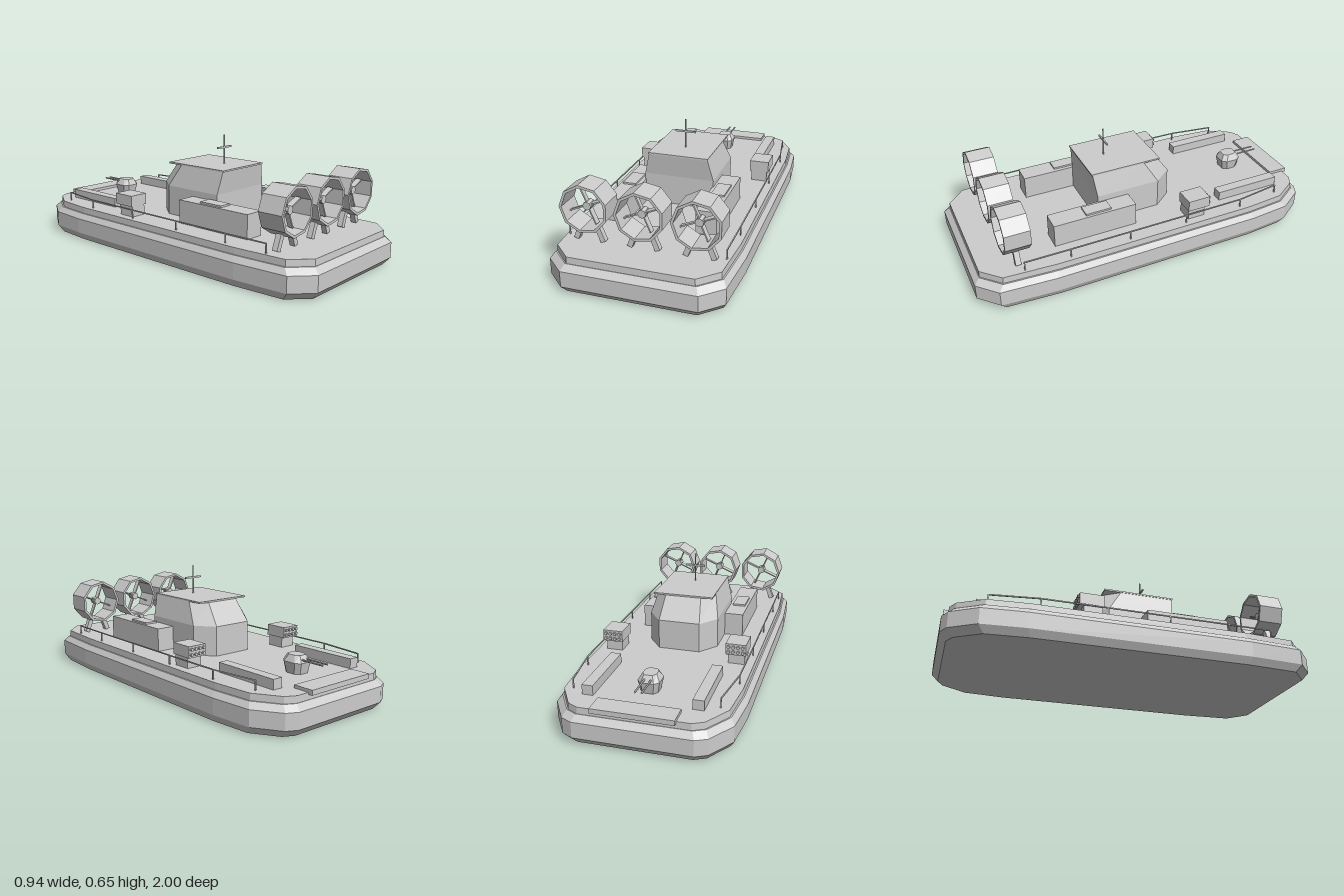
import * as THREE from 'three';

const grey = new THREE.MeshStandardMaterial({ color: 0xcccccc });
grey.name = 'hull grey';

export function createModel() {
  const root = new THREE.Group();
  root.name = 'hovercraft';

  // flat shaded mesh
  function add(name, geo, parent = root) {
    const g = geo.index ? geo.toNonIndexed() : geo;
    g.computeVertexNormals();
    const m = new THREE.Mesh(g, grey);
    m.name = name;
    parent.add(m);
    return m;
  }

  // box from its min and max corners
  function box(name, x0, x1, y0, y1, z0, z1, parent = root) {
    const g = new THREE.BoxGeometry(x1 - x0, y1 - y0, z1 - z0);
    g.translate((x0 + x1) / 2, (y0 + y1) / 2, (z0 + z1) / 2);
    return add(name, g, parent);
  }

  // straight bar between two points
  function bar(name, a, b, w, d, parent = root, sides = 0) {
    const p = new THREE.Vector3(...a), q = new THREE.Vector3(...b);
    const len = p.distanceTo(q);
    const m = add(name, sides ? new THREE.CylinderGeometry(w, w, len, sides) : new THREE.BoxGeometry(w, len, d), parent);
    m.position.copy(p).add(q).multiplyScalar(0.5);
    m.quaternion.setFromUnitVectors(new THREE.Vector3(0, 1, 0), q.sub(p).normalize());
    return m;
  }

  // skin between mirrored half outlines, each { y, pts: [[x, z], ...] } from front to back
  function loft(levels) {
    const rings = levels.map(({ y, pts }) => [
      ...pts.map(([x, z]) => [x, y, z]),
      ...[...pts].reverse().map(([x, z]) => [-x, y, z]),
    ]);
    const v = [], n = rings[0].length;
    for (let r = 0; r < rings.length - 1; r++) {
      for (let i = 0; i < n; i++) {
        const j = (i + 1) % n, lo = rings[r], hi = rings[r + 1];
        v.push(...lo[i], ...lo[j], ...hi[j], ...lo[i], ...hi[j], ...hi[i]);
      }
    }
    const top = rings[rings.length - 1], bot = rings[0];
    for (let i = 1; i < n - 1; i++) {
      v.push(...top[0], ...top[i], ...top[i + 1], ...bot[0], ...bot[i + 1], ...bot[i]);
    }
    const g = new THREE.BufferGeometry();
    g.setAttribute('position', new THREE.Float32BufferAttribute(v, 3));
    return g;
  }

  // skirt and deck share one plan outline, inset by level
  const plan = [[0.345, 1], [0.45, 0.9], [0.47, 0.6], [0.47, -0.6], [0.45, -0.83], [0.36, -0.97], [0.3, -1]];
  const level = (y, ix, iz) => ({ y, pts: plan.map(([x, z]) => [x * (1 - ix / 0.47), z * (1 - iz)]) });
  add('skirt', loft([level(0, 0.02, 0.035), level(0.04, 0, 0), level(0.125, 0, 0), level(0.155, 0.022, 0.03)]));
  add('deck', loft([level(0.15, 0.03, 0.032), level(0.19, 0.032, 0.034)]));
  box('bowRamp', -0.208, 0.208, 0.18, 0.206, -0.99, -0.878);

  // cabin with chamfered, sloping windscreen
  const wall = [[0.195, 0.255], [0.195, -0.11], [0.115, -0.213]];
  const eave = [[0.165, 0.27], [0.165, -0.035], [0.1, -0.125]];
  add('cabin', loft([{ y: 0.19, pts: wall }, { y: 0.355, pts: wall }, { y: 0.478, pts: eave }]));
  box('cabinRoof', -0.168, 0.168, 0.476, 0.485, -0.132, 0.275);

  // mast with crossbar
  bar('mast', [0, 0.48, 0.135], [0, 0.648, 0.135], 0.004, 0, root, 6);
  box('mastCrossbar', -0.057, 0.057, 0.573, 0.583, 0.131, 0.139);

  for (const s of [1, -1]) {
    const side = new THREE.Group();
    side.name = s > 0 ? 'leftDeckGear' : 'rightDeckGear';
    root.add(side);
    const sbox = (name, x0, x1, ...r) => box(name, Math.min(s * x0, s * x1), Math.max(s * x0, s * x1), ...r, side);

    // engine housing with hatch, and long deck locker
    sbox('engineHousing', 0.19, 0.3, 0.185, 0.32, 0.075, 0.548);
    sbox('engineHatch', 0.212, 0.285, 0.32, 0.33, 0.215, 0.36);
    sbox('deckLocker', 0.25, 0.307, 0.185, 0.242, -0.84, -0.455);

    // launcher: base, box and two rows of tubes
    sbox('launcherBase', 0.3, 0.39, 0.185, 0.252, -0.305, -0.205);
    sbox('launcherBox', 0.29, 0.4, 0.25, 0.312, -0.33, -0.2);
    for (let r = 0; r < 2; r++) {
      for (let c = 0; c < 4; c++) {
        const x = s * (0.306 + c * 0.026), y = 0.267 + r * 0.028;
        bar('launcherTube', [x, y, -0.32], [x, y, -0.34], 0.009, 0, side, 8);
      }
    }

    // handrail with posts
    const path = [[0.41, 0.75], [0.412, 0.5], [0.412, 0.16], [0.412, -0.18], [0.41, -0.53], [0.374, -0.79]];
    path.forEach(([x, z], i) => {
      bar('railPost', [s * x, 0.185, z], [s * x, 0.24, z], 0.006, 0.006, side);
      if (i) {
        const [px, pz] = path[i - 1];
        bar('handrail', [s * px, 0.239, pz], [s * x, 0.239, z], 0.006, 0.006, side);
      }
    });
  }

  // twin gun turret, pointing to the bow
  const gun = new THREE.Group();
  gun.name = 'gunTurret';
  root.add(gun);
  const turretLevel = (y, w, f, b) => ({
    y, pts: [[w * 0.6, f], [w, f - 0.025], [w, b + 0.025], [w * 0.6, b]],
  });
  add('turretBody', loft([turretLevel(0.19, 0.045, -0.65, -0.75), turretLevel(0.25, 0.056, -0.638, -0.762),
    turretLevel(0.285, 0.036, -0.655, -0.74)]), gun);
  for (const x of [-0.017, 0.017]) bar('gunBarrel', [x, 0.264, -0.73], [x, 0.264, -0.885], 0.005, 0, gun, 6);

  // three ducted fans
  const turn = THREE.MathUtils.degToRad(19);
  const polygon = (Shape, r) => new Shape(Array.from({ length: 9 }, (_, i) => {
    const a = turn + i * Math.PI * 2 / 9;
    return new THREE.Vector2(r * Math.cos(a), r * Math.sin(a));
  }));
  for (const x of [-0.286, 0, 0.286]) {
    const fan = new THREE.Group();
    fan.name = 'ductedFan';
    fan.position.set(x, 0.383, 0.77);
    root.add(fan);

    const ring = polygon(THREE.Shape, 0.128);
    ring.holes.push(polygon(THREE.Path, 0.114));
    const duct = new THREE.ExtrudeGeometry(ring, { depth: 0.138, bevelEnabled: false });
    duct.translate(0, 0, -0.069);
    add('fanDuct', duct, fan);

    const hub = new THREE.CylinderGeometry(0.022, 0.022, 0.05, 8);
    hub.rotateX(Math.PI / 2);
    add('fanHub', hub, fan);

    for (let i = 0; i < 4; i++) {
      const blade = new THREE.BoxGeometry(0.09, 0.007, 0.03);
      blade.rotateX(0.1);
      blade.translate(0.06, 0, 0);
      blade.rotateZ(THREE.MathUtils.degToRad(23) + i * Math.PI / 2);
      add('fanBlade', blade, fan);
    }
    for (const s of [1, -1]) bar('fanLeg', [s * 0.042, -0.112, 0], [s * 0.073, -0.19, 0], 0.027, 0.03, fan);
  }

  return root;
}
